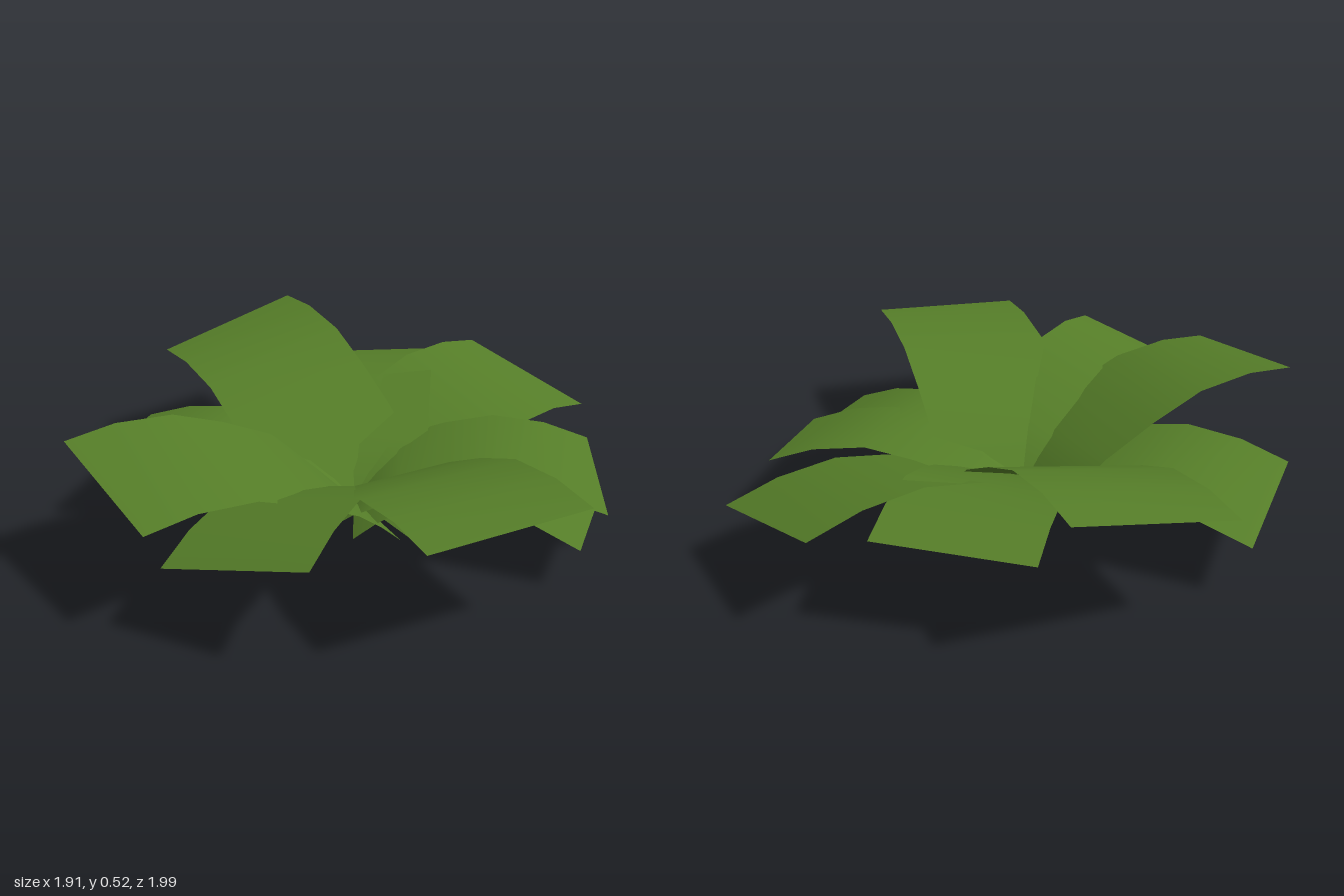
import * as THREE from 'three';

const leafGreen = new THREE.MeshStandardMaterial({ color: 0x557d28, side: THREE.DoubleSide });
leafGreen.name = 'leafGreen';

const BASE_Y = 0.065; // height where all leaves meet

// Shared arch of a leaf: [fraction of the reach, height above the straight line to the tip]
const ARCH = [[0, 0], [0.09, 0.05], [0.19, 0.09], [0.39, 0.12], [0.59, 0.13], [0.81, 0.08], [1, 0]];

// Each leaf by its two tip corners, clockwise from above: x, y, z, x, y, z
const LEAVES = [
  [-0.67, 0.385, -0.74, -0.17, 0.51, -1.0],
  [-0.08, 0.30, -0.88, 0.42, 0.325, -0.80],
  [0.59, 0.34, -0.84, 0.95, 0.21, -0.42],
  [0.88, 0.21, -0.11, 0.82, 0.14, 0.36],
  [0.86, 0.13, 0.16, 0.66, 0.14, 0.58],
  [0.61, 0.42, 0.81, 0.09, 0.40, 0.99],
  [-0.23, 0.35, 0.96, -0.65, 0.24, 0.71],
  [-0.69, 0.36, 0.73, -0.96, 0.445, 0.23],
  [-0.93, 0.215, -0.06, -0.74, 0.18, -0.57],
];

// A rectangular strip, arched along its length and rolled to one side
function leafGeometry([ax, ay, az, bx, by, bz]) {
  const a = new THREE.Vector3(ax, ay, az);
  const b = new THREE.Vector3(bx, by, bz);
  const tip = a.clone().add(b).multiplyScalar(0.5);
  const half = b.clone().sub(a).multiplyScalar(0.5);
  const positions = [];
  const index = [];
  ARCH.forEach(([u, lift], i) => {
    const y = BASE_Y + (tip.y - BASE_Y) * u + lift;
    for (const s of [-1, 1]) {
      positions.push(tip.x * u + s * half.x, y + s * half.y, tip.z * u + s * half.z);
    }
    if (i > 0) {
      const k = 2 * i;
      index.push(k - 2, k - 1, k, k - 1, k + 1, k);
    }
  });
  const geometry = new THREE.BufferGeometry();
  geometry.setAttribute('position', new THREE.Float32BufferAttribute(positions, 3));
  geometry.setIndex(index);
  geometry.computeVertexNormals();
  return geometry;
}

export function createModel() {
  const plant = new THREE.Group();
  plant.name = 'leafRosette';
  LEAVES.forEach((corners, i) => {
    const leaf = new THREE.Mesh(leafGeometry(corners), leafGreen);
    leaf.name = `leaf${i + 1}`;
    plant.add(leaf);
  });
  return plant;
}
